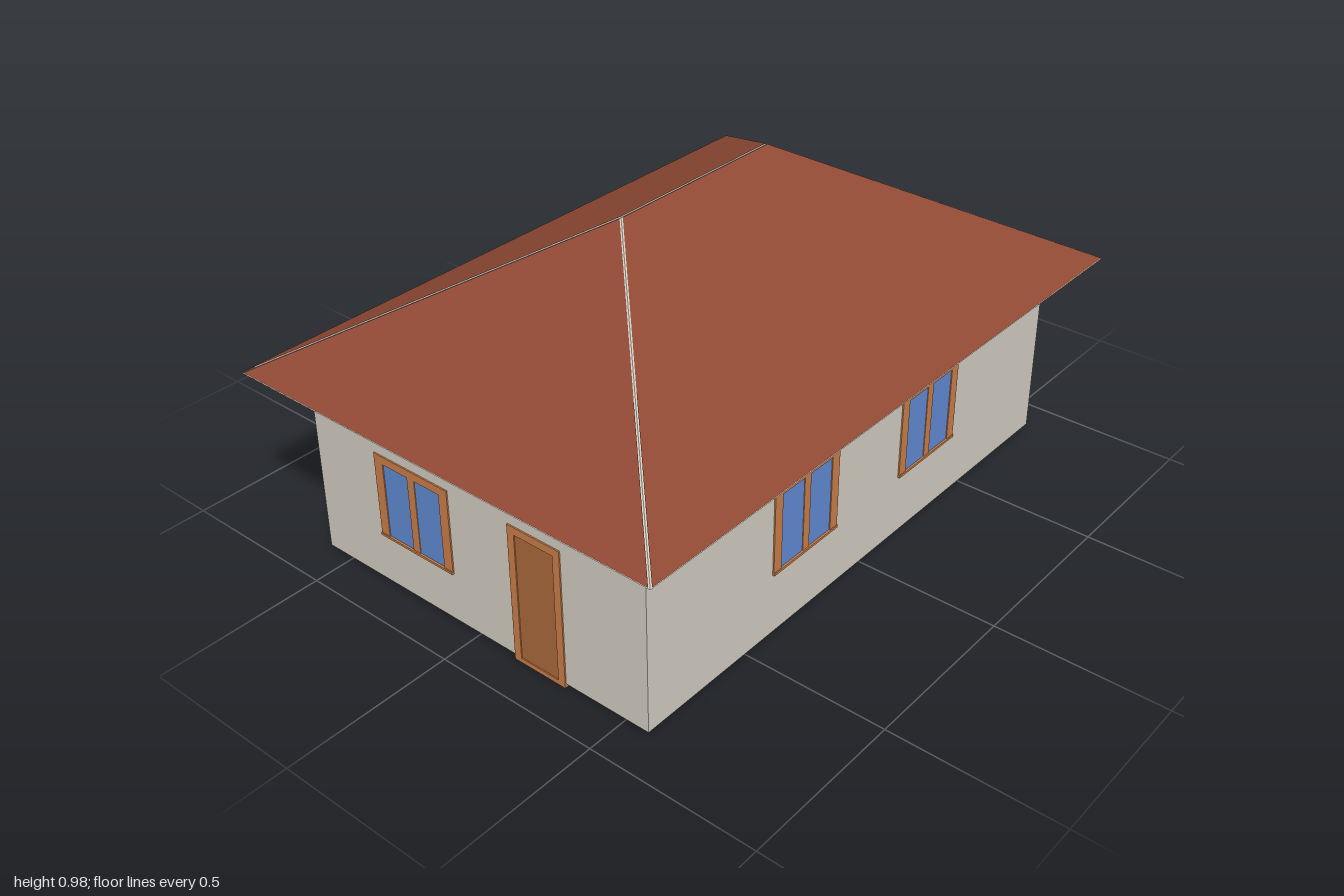
import * as THREE from 'three';

const mat = (name, color) => Object.assign(new THREE.MeshStandardMaterial({ color }), { name });

export function createModel() {
  const house = new THREE.Group();
  house.name = 'house';
  const plaster = mat('plaster', 0xd0cbc1);
  const tile = mat('roofTile', 0x914935);
  const wood = mat('wood', 0xc87d48);
  const panelWood = mat('panelWood', 0xa8683a);
  const glass = mat('glass', 0x5f88d0);
  const metal = mat('metal', 0xd8d4cc);

  // Box given by its limits
  const box = (parent, name, material, x0, x1, y0, y1, z0, z1) => {
    const m = new THREE.Mesh(new THREE.BoxGeometry(x1 - x0, y1 - y0, z1 - z0), material);
    m.position.set((x0 + x1) / 2, (y0 + y1) / 2, (z0 + z1) / 2);
    m.name = name;
    parent.add(m);
    return m;
  };

  // Flat polygons, each a convex counter-clockwise loop
  const facets = (name, material, polys) => {
    const pos = [];
    for (const p of polys)
      for (let i = 1; i < p.length - 1; i++) pos.push(...p[0], ...p[i], ...p[i + 1]);
    const g = new THREE.BufferGeometry();
    g.setAttribute('position', new THREE.Float32BufferAttribute(pos, 3));
    g.computeVertexNormals();
    const m = new THREE.Mesh(g, material);
    m.name = name;
    house.add(m);
  };

  // Walls
  const W = 0.88, D = 0.58;
  box(house, 'walls', plaster, -W, W, 0.012, 0.625, -D, D);

  // Hip roof: plaster slab with a hollow underside
  const eave = 0.575, peak = 0.976, ridge = 0.3, slope = (peak - eave) / 0.7, rim = 0.04;
  const hip = (x, z, top) => {
    const c = [[-x, eave, z], [x, eave, z], [x, eave, -z], [-x, eave, -z]];
    const l = [-ridge, top, 0], r = [ridge, top, 0];
    return { c, sides: [[c[0], c[1], r, l], [c[1], c[2], r], [c[2], c[3], l, r], [c[3], c[0], l]] };
  };
  const outer = hip(1, 0.7, peak);
  const inner = hip(1 - rim, 0.7 - rim, peak - rim * slope);
  facets('roofSlab', plaster, [
    ...outer.sides,
    ...inner.sides.map((s) => [...s].reverse()),
    ...[0, 1, 2, 3].map((k) => {
      const n = (k + 1) % 4;
      return [outer.c[k], inner.c[k], inner.c[n], outer.c[n]];
    }),
  ]);

  // Tiled faces, with narrow gaps along hips and ridge
  const gap = 0.006, lift = 0.003, e = eave + lift, p = peak + lift;
  for (const s of [1, -1]) {
    const r = 0.003, rx = ridge + r - gap, ry = p - r * slope;
    facets('roofTilesLong', tile, [[
      [-s * (1 - gap), e, s * 0.7], [s * (1 - gap), e, s * 0.7],
      [s * rx, ry, s * r], [-s * rx, ry, s * r],
    ]]);
    facets('roofTilesEnd', tile, [[
      [s, e, s * (0.7 - gap)], [s, e, -s * (0.7 - gap)], [s * (ridge + gap), p - gap * slope, 0],
    ]]);
  }

  // Group whose local +z points out of the wall, with z = 0 on the wall
  const onWall = (name, x, y, z, turn) => {
    const g = new THREE.Group();
    g.name = name;
    g.position.set(x, y, z);
    g.rotation.y = turn;
    house.add(g);
    return g;
  };

  // Two-pane window, base at local y = 0
  const addWindow = (x, y, z, turn) => {
    const g = onWall('window', x, y, z, turn);
    const w = 0.135, h = 0.255, f = 0.031, out = 0.004;
    box(g, 'windowGlass', glass, -w + 0.01, w - 0.01, 0.003, h - 0.01, -0.005, 0.001);
    for (const s of [-1, 1])
      box(g, 'windowJamb', wood, s > 0 ? w - f : -w, s > 0 ? w : -w + f, 0, h, -0.01, out);
    box(g, 'windowMullion', wood, -0.013, 0.013, 0, h, -0.01, out - 0.001);
    box(g, 'windowHead', wood, -w + f, w - f, h - 0.024, h, -0.01, out);
    box(g, 'windowSill', wood, -w, w, -0.003, 0.004, -0.01, 0.007);
  };
  for (const x of [-0.267, 0.293]) {
    addWindow(x, 0.2, D, 0);
    addWindow(x, 0.2, -D, Math.PI);
  }
  addWindow(-W, 0.165, -0.21, -Math.PI / 2);

  // Glazed double door on the left side
  const patio = onWall('patioDoor', W, 0, 0, Math.PI / 2);
  box(patio, 'doorHead', wood, -0.18, 0.18, 0.45, 0.46, -0.01, 0.005);
  box(patio, 'doorSill', wood, -0.185, 0.185, 0.04, 0.05, -0.01, 0.009);
  for (const s of [-1, 1]) {
    const span = (name, m, a, b, y0, y1, z) =>
      box(patio, name, m, Math.min(s * a, s * b), Math.max(s * a, s * b), y0, y1, -0.01, z);
    span('doorJamb', wood, 0.168, 0.18, 0.05, 0.45, 0.005);
    span('doorStile', wood, 0.148, 0.168, 0.05, 0.45, 0.003);
    span('doorMeetingStile', wood, 0, 0.027, 0.05, 0.45, 0.003);
    span('doorTopRail', wood, 0.027, 0.148, 0.421, 0.45, 0.003);
    span('doorBottomRail', wood, 0.027, 0.148, 0.05, 0.09, 0.003);
    span('doorGlass', glass, 0.027, 0.148, 0.09, 0.421, 0.001);
    const knob = new THREE.Mesh(new THREE.SphereGeometry(0.005, 10, 8), metal);
    knob.name = 'doorKnob';
    knob.position.set(s * 0.014, 0.25, 0.005);
    patio.add(knob);
  }

  // Single door on the right side, reaching below the wall base
  const entry = onWall('entryDoor', -W, 0, 0.223, -Math.PI / 2);
  box(entry, 'entryPanel', panelWood, -0.066, 0.066, 0.006, 0.4, -0.018, 0.001);
  for (const s of [-1, 1])
    box(entry, 'entryJamb', wood, s > 0 ? 0.064 : -0.087, s > 0 ? 0.087 : -0.064, 0, 0.42, -0.018, 0.004);
  box(entry, 'entryHead', wood, -0.064, 0.064, 0.397, 0.42, -0.018, 0.004);
  box(entry, 'entryThreshold', wood, -0.064, 0.064, 0, 0.014, -0.018, 0.004);

  return house;
}
